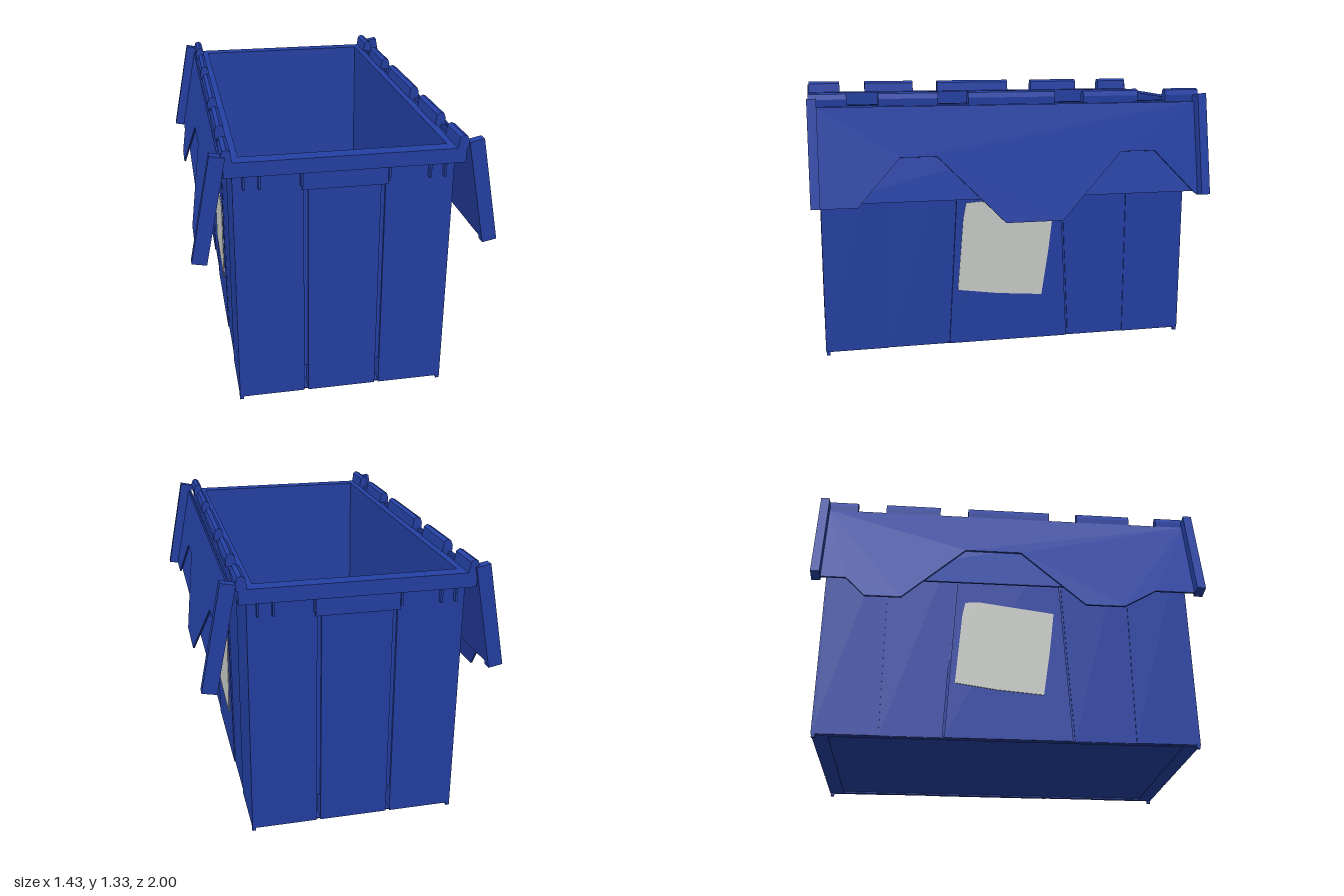
import * as THREE from 'three';

const blue = new THREE.MeshStandardMaterial({ color: 0x2541a6 });
blue.name = 'blue plastic';
const paper = new THREE.MeshStandardMaterial({ color: 0xcdd0cd });
paper.name = 'paper label';

function add(parent, name, geo, mat = blue) {
  const m = new THREE.Mesh(geo, mat);
  m.name = name;
  parent.add(m);
  return m;
}
// box given by its min and max corners
function block(x0, x1, y0, y1, z0, z1) {
  return new THREE.BoxGeometry(x1 - x0, y1 - y0, z1 - z0)
    .translate((x0 + x1) / 2, (y0 + y1) / 2, (z0 + z1) / 2);
}
const toShape = pts => new THREE.Shape(pts.map(p => new THREE.Vector2(p[0], p[1])));
const rect = (x0, x1, y0, y1) => [[x0, y0], [x1, y0], [x1, y1], [x0, y1]];
const extrude = (shape, depth) => new THREE.ExtrudeGeometry(shape, { depth, bevelEnabled: false });
// plate lying in the z-y plane, growing from x toward +x
function sidePlate(pts, x, t) {
  return extrude(toShape(pts.map(([z, y]) => [-z, y])), t).rotateY(Math.PI / 2).translate(x, 0, 0);
}

// end wall with sloping inside, two drain slots and raised panels
function buildEnd() {
  const g = new THREE.Group();
  g.name = 'endWall';
  const wall = toShape(rect(-0.495, 0.495, 0.02, 1.26));
  for (const x of [-0.188, 0.168]) wall.holes.push(toShape(rect(x, x + 0.02, 0.03, 0.16)));
  const geo = extrude(wall, 0.06).translate(0, 0, 0.877);
  const p = geo.attributes.position;
  for (let i = 0; i < p.count; i++) {
    if (p.getZ(i) < 0.9) p.setZ(i, 0.87 + 0.05 * p.getY(i) / 1.26);
  }
  geo.computeVertexNormals();
  add(g, 'wall', geo);
  for (const [a, b] of [[-0.508, -0.188], [-0.168, 0.168], [0.188, 0.508]]) {
    add(g, 'endPanel', block(a, b, 0.022, 1.22, 0.936, 0.95));
  }
  add(g, 'handleBlock', block(-0.198, 0.198, 1.11, 1.21, 0.936, 0.965));
  // gussets under the rim
  for (const x of [0.2, 0.39, 0.46]) {
    for (const s of [-1, 1]) {
      add(g, 'gusset', block(s * x - 0.005, s * x + 0.005, 1.13, 1.21, 0.94, 0.975));
    }
  }
  return g;
}

// long wall with a tapered centre panel and the paper label
function buildSide() {
  const g = new THREE.Group();
  g.name = 'longWall';
  add(g, 'wall', block(0.475, 0.497, 0.02, 1.26, -0.94, 0.94));
  add(g, 'centrePanel', sidePlate([[0.315, 0.022], [-0.315, 0.022], [-0.25, 1.22], [0.25, 1.22]], 0.495, 0.013));
  for (const s of [-1, 1]) {
    add(g, 'middlePanel', sidePlate(
      [[s * 0.325, 0.022], [s * 0.63, 0.022], [s * 0.63, 1.22], [s * 0.26, 1.22]], 0.495, 0.008));
    add(g, 'outerPanel', sidePlate(
      [[s * 0.63, 0.022], [s * 0.95, 0.022], [s * 0.95, 1.22], [s * 0.63, 1.22]], 0.495, 0.013));
  }
  add(g, 'label', sidePlate(
    [[0.27, 0.31], [0.24, 0.69], [0.225, 0.765], [0.15, 0.77], [-0.235, 0.72], [-0.21, 0.5], [-0.175, 0.26], [0.06, 0.28]],
    0.508, 0.004), paper);
  return g;
}

const KNUCKLES = [[0.81, 0.99], [0.37, 0.66], [-0.22, 0.22], [-0.66, -0.37], [-0.99, -0.81]];

function buildRim() {
  const g = new THREE.Group();
  g.name = 'rim';
  const top = toShape(rect(-0.547, 0.547, -0.99, 0.99));
  top.holes.push(toShape(rect(-0.475, 0.475, -0.92, 0.92)));
  for (const s of [-1, 1]) {
    for (const z of [-0.8, -0.36, 0.22, 0.66]) {
      const a = s * 0.511, b = s * 0.534;
      top.holes.push(toShape(rect(Math.min(a, b), Math.max(a, b), z, z + 0.14)));
    }
  }
  add(g, 'rimTop', extrude(top, 0.014).rotateX(-Math.PI / 2).translate(0, 1.256, 0));
  for (const s of [0, Math.PI]) {
    const half = new THREE.Group();
    half.name = 'rimHalf';
    half.rotation.y = s;
    add(half, 'endSkirt', block(-0.547, 0.547, 1.2, 1.26, 0.975, 0.99));
    add(half, 'sideSkirt', block(0.537, 0.547, 1.2, 1.26, -0.98, 0.98));
    // hinge knuckles along the long edge
    const profile = toShape([[0.505, 1.265], [0.555, 1.265], [0.557, 1.3], [0.548, 1.325], [0.53, 1.332], [0.513, 1.32]]);
    for (const [a, b] of KNUCKLES) add(half, 'hingeKnuckle', extrude(profile, b - a).translate(0, 0, a));
    g.add(half);
  }
  return g;
}

// hanging lid half; edge lists [z, height] along its toothed free edge
const TILT = 0.195;
function buildLid(edge, name) {
  const g = new THREE.Group();
  g.name = name;
  const local = y => (y - 1.297) / Math.cos(TILT);
  const top = local(1.262);
  add(g, 'lidBackPlate', sidePlate(rect(-0.96, 0.96, local(0.81), top), 0, 0.008));
  const pts = edge.map(([z, y]) => [z, local(y)]);
  add(g, 'lidToothedPlate', sidePlate([[-0.96, top], [0.96, top], ...pts], 0.01, 0.009));
  for (const s of [-1, 1]) {
    const a = s * 0.955, b = s * 1.0;
    add(g, 'lidEndFlange', block(0, 0.07, local(0.79), 0, Math.min(a, b), Math.max(a, b)));
  }
  g.position.set(0.546, 1.297, 0);
  g.rotation.z = TILT;
  return g;
}

export function createModel() {
  const model = new THREE.Group();
  model.name = 'hingedLidCrate';

  const body = new THREE.Group();
  body.name = 'crateBody';
  body.position.set(-0.01, 0, 0.003);
  model.add(body);
  for (const r of [0, Math.PI]) {
    for (const part of [buildEnd(), buildSide()]) {
      part.rotation.y = r;
      body.add(part);
    }
  }
  body.add(buildRim());

  // floor, tapering below to a smaller foot
  const floor = new THREE.BoxGeometry(1.0, 0.03, 1.89).translate(0, 0.015, 0);
  const p = floor.attributes.position;
  for (let i = 0; i < p.count; i++) {
    if (p.getY(i) < 0.01) p.setXYZ(i, Math.sign(p.getX(i)) * 0.19, 0, Math.sign(p.getZ(i)) * 0.63);
  }
  floor.computeVertexNormals();
  add(body, 'floor', floor);
  for (const x of [-1, 1]) {
    for (const z of [-1, 1]) {
      add(body, 'cornerFoot', new THREE.BoxGeometry(0.018, 0.022, 0.018).translate(x * 0.5, 0.016, z * 0.938));
    }
  }

  // interlocking lid halves: one central tooth against two outer teeth
  model.add(buildLid([[0.96, 0.79], [0.78, 0.79], [0.57, 1.02], [0.39, 1.02], [0.06, 0.69], [-0.23, 0.69],
    [-0.55, 1.02], [-0.73, 1.02], [-0.94, 0.8], [-0.96, 0.79]], 'leftLid'));
  const right = new THREE.Group();
  right.name = 'rightLidMount';
  right.rotation.y = Math.PI;
  right.add(buildLid([[0.96, 0.8], [0.83, 0.8], [0.73, 0.69], [0.55, 0.69], [0.23, 1.02], [-0.06, 1.02],
    [-0.38, 0.69], [-0.58, 0.69], [-0.75, 0.8], [-0.96, 0.8]], 'rightLid'));
  model.add(right);
  return model;
}
